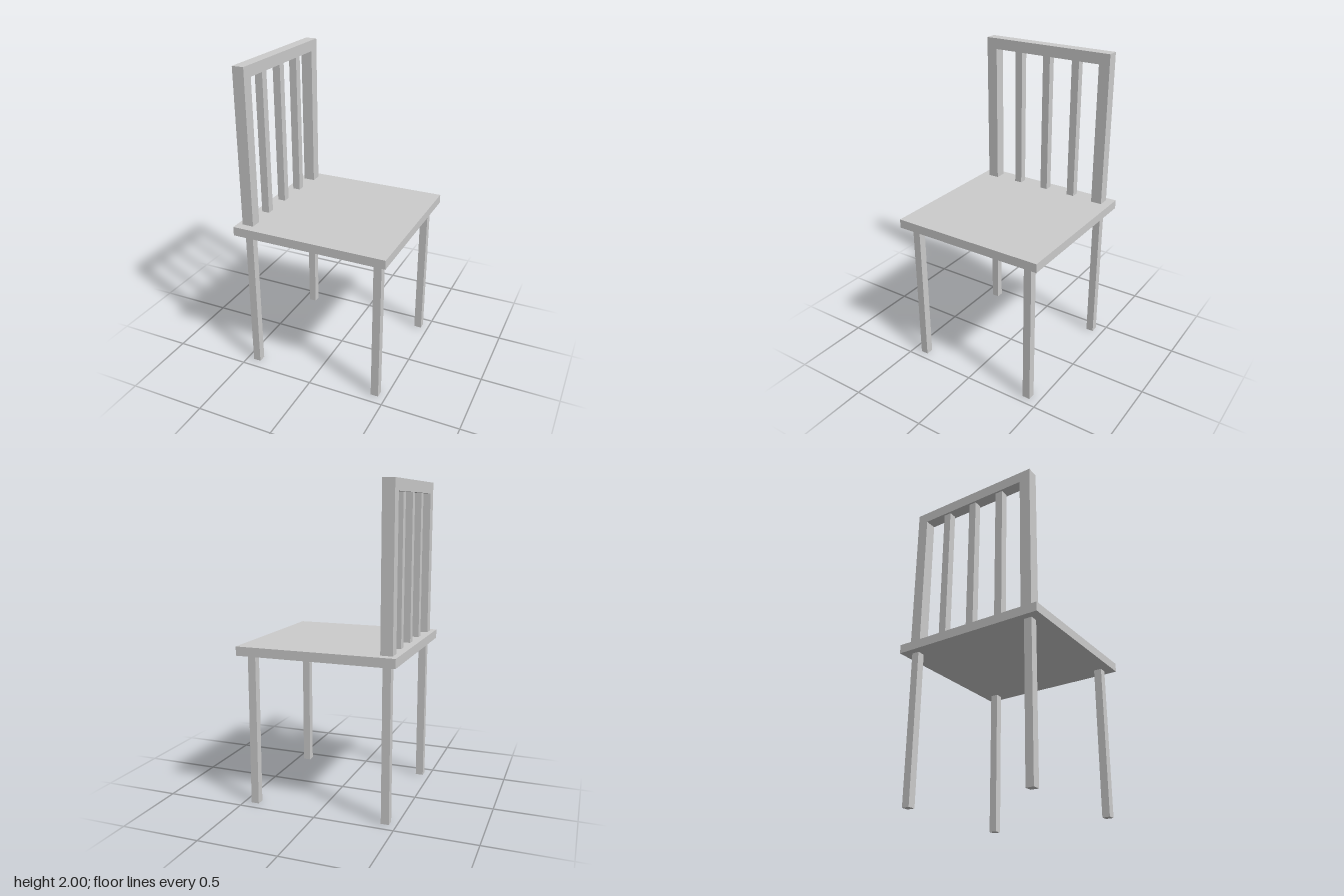
import * as THREE from 'three';

const SEAT_TOP = 1.02, SEAT_BOTTOM = 0.963, BACK_X = -0.43;

export function createModel() {
  const chair = new THREE.Group();
  chair.name = 'chair';
  const material = new THREE.MeshStandardMaterial({ color: 0xcccccc, flatShading: true });

  const add = (name, geometry, x, y, z) => {
    const mesh = new THREE.Mesh(geometry, material);
    mesh.name = name;
    mesh.position.set(x, y, z);
    chair.add(mesh);
  };

  // Upright box standing between two heights
  const addBox = (name, w, d, y0, y1, x, z) =>
    add(name, new THREE.BoxGeometry(w, y1 - y0, d), x, (y0 + y1) / 2, z);

  // Seat slab
  addBox('seat', 1, 1, SEAT_BOTTOM, SEAT_TOP, 0, 0);

  // Four square legs
  for (const [end, x] of [['backrestEnd', -0.43], ['openEnd', 0.428]]) {
    for (const [side, z] of [['Front', 0.413], ['Rear', -0.413]]) {
      addBox(`${end}${side}Leg`, 0.05, 0.05, 0, SEAT_BOTTOM, x, z);
    }
  }

  // One-piece backrest frame: two posts joined by the top rail
  const outer = 0.445, inner = 0.373, depth = 0.074;
  const outline = new THREE.Shape([
    [-outer, SEAT_TOP], [-inner, SEAT_TOP], [-inner, 1.93], [inner, 1.93],
    [inner, SEAT_TOP], [outer, SEAT_TOP], [outer, 2], [-outer, 2],
  ].map(([z, y]) => new THREE.Vector2(z, y)));
  const frame = new THREE.ExtrudeGeometry(outline, { depth, bevelEnabled: false });
  frame.translate(0, 0, -depth / 2).rotateY(-Math.PI / 2);
  add('backrestFrame', frame, BACK_X, 0, 0);

  // Three slats inside the frame
  for (let i = -1; i <= 1; i++) {
    addBox(`backrestSlat${i + 2}`, 0.05, 0.05, SEAT_TOP, 1.93, BACK_X, i * 0.207);
  }

  return chair;
}
